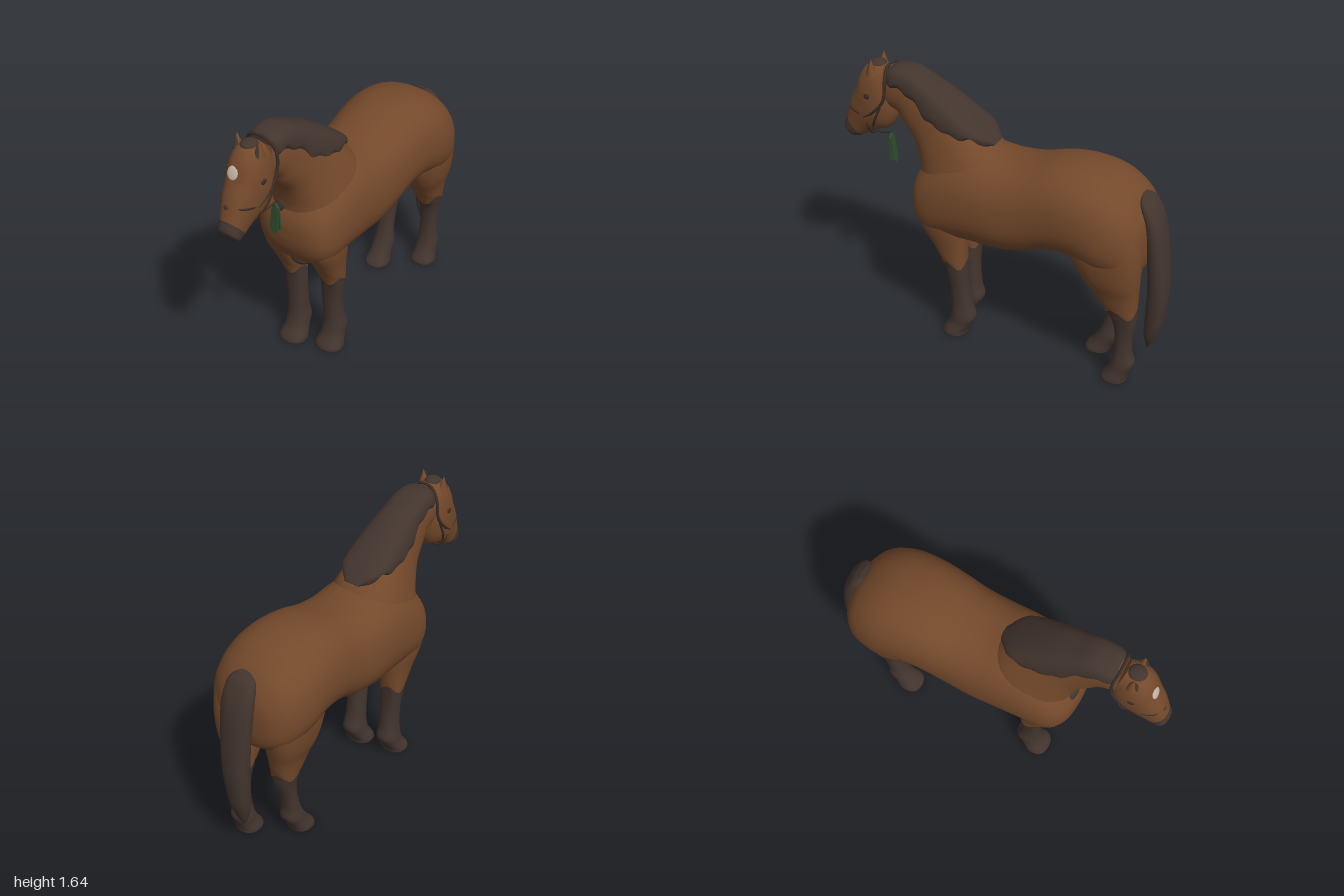
import * as THREE from 'three';

const mat = (name, color) => Object.assign(new THREE.MeshStandardMaterial({ color }), { name });

// Smooth skin through oval sections [x, z0, y0, z1, y1, halfWidth]; 0 and 1 are opposite rims
// in the side plane. Stations past `split` take the second material; `jag` waves that border.
function loft(sections, { split = Infinity, jag = 0, power = 0.85, egg = 0, steps = 4, seg = 28 } = {}) {
  const curve = (f) => new THREE.CatmullRomCurve3(sections.map(f), false, 'catmullrom', 0.5);
  const low = curve((s) => new THREE.Vector3(s[0], s[2], s[1]));
  const high = curve((s) => new THREE.Vector3(s[0], s[4], s[3]));
  const width = curve((s) => new THREE.Vector3(s[5], 0, 0));
  const n = (sections.length - 1) * steps;
  const pos = [], idx = [];
  const soft = (v) => Math.sign(v) * Math.abs(v) ** power;
  for (let i = 0; i <= n; i++) {
    const a = low.getPoint(i / n), b = high.getPoint(i / n);
    const w = Math.max(0.004, width.getPoint(i / n).x);
    const c = a.clone().add(b).multiplyScalar(0.5), h = b.sub(a).multiplyScalar(0.5);
    for (let j = 0; j < seg; j++) {
      const t = (j / seg) * Math.PI * 2, s = soft(Math.sin(t));
      const wave = i === split * steps ? jag * Math.sin(3 * t + 0.6) : 0;
      pos.push(c.x + w * soft(Math.cos(t)) * (1 + egg * s), c.y + h.y * s + wave, c.z + h.z * s);
    }
  }
  // end caps with their own rim points
  const cap = (i, flip) => {
    const start = pos.length / 3, mid = [0, 0, 0];
    for (let j = 0; j < seg; j++) {
      for (let k = 0; k < 3; k++) {
        const v = pos[(i * seg + j) * 3 + k];
        pos.push(v);
        mid[k] += v / seg;
      }
    }
    pos.push(...mid);
    for (let j = 0; j < seg; j++) {
      const p = start + j, q = start + (j + 1) % seg;
      idx.push(start + seg, flip ? q : p, flip ? p : q);
    }
  };
  cap(0, true);
  let cut = 0;
  for (let i = 0; i < n; i++) {
    if (i === split * steps) cut = idx.length;
    for (let j = 0; j < seg; j++) {
      const a = i * seg + j, b = i * seg + (j + 1) % seg;
      idx.push(a, b, a + seg, b, b + seg, a + seg);
    }
  }
  cap(n, false);
  const g = new THREE.BufferGeometry();
  g.setAttribute('position', new THREE.Float32BufferAttribute(pos, 3));
  g.setIndex(idx);
  if (cut) {
    g.addGroup(0, cut, 0);
    g.addGroup(cut, idx.length - cut, 1);
  }
  g.computeVertexNormals();
  return g;
}

export function createModel() {
  const horse = new THREE.Group();
  horse.name = 'horse';
  const coat = mat('bayCoat', 0x74492b);
  const dark = mat('darkHair', 0x43352e);
  const leather = mat('halterLeather', 0x3a2e27);
  const white = mat('starWhite', 0xc4b6a6);
  const green = mat('leadGreen', 0x2f4c2d);

  const add = (name, geometry, material) => {
    const m = new THREE.Mesh(geometry, material);
    m.name = name;
    horse.add(m);
    return m;
  };
  const blob = (name, material, p, s, r = [0, 0, 0]) => {
    const m = add(name, new THREE.SphereGeometry(1, 20, 14), material);
    m.position.set(...p);
    m.scale.set(...s);
    m.rotation.set(...r);
  };

  // Trunk: z, top, bottom, half width
  const trunk = [
    [-0.893, 0.95, 0.85, 0.04], [-0.885, 1.02, 0.79, 0.12], [-0.86, 1.095, 0.73, 0.2], [-0.79, 1.185, 0.69, 0.268],
    [-0.66, 1.26, 0.7, 0.303], [-0.5, 1.287, 0.755, 0.3], [-0.35, 1.275, 0.745, 0.288],
    [-0.2, 1.235, 0.69, 0.28], [-0.05, 1.22, 0.662, 0.28], [0.1, 1.235, 0.66, 0.275],
    [0.25, 1.215, 0.655, 0.266], [0.37, 1.15, 0.65, 0.25], [0.45, 1.08, 0.7, 0.215],
    [0.495, 1.01, 0.78, 0.15], [0.512, 0.95, 0.85, 0.06], [0.514, 0.91, 0.89, 0.02],
  ];
  add('body', loft(trunk.map(([z, t, b, w]) => [0, z, b, z, t, w]), { egg: -0.04, seg: 36 }), coat);

  // Neck: throat rim to crest rim
  add('neck', loft([
    [0, 0.4, 0.85, -0.04, 1.1, 0.23], [0, 0.475, 0.98, 0.0, 1.2, 0.218], [0, 0.488, 1.08, 0.08, 1.29, 0.188],
    [0, 0.525, 1.19, 0.25, 1.43, 0.143], [0, 0.59, 1.27, 0.41, 1.53, 0.115],
    [0, 0.63, 1.33, 0.55, 1.585, 0.1], [0, 0.72, 1.36, 0.68, 1.6, 0.085],
  ]), coat);

  // Mane: draped over the crest with a ragged lower edge
  const seg = 28;
  const mane = loft([
    [0, 0.05, 1.25, 0.02, 1.28, 0.05], [0, 0.13, 1.295, 0.09, 1.345, 0.125], [0, 0.27, 1.28, 0.2, 1.43, 0.146],
    [0, 0.42, 1.33, 0.32, 1.51, 0.136], [0, 0.48, 1.4, 0.43, 1.565, 0.12], [0, 0.55, 1.46, 0.53, 1.61, 0.11],
    [0, 0.65, 1.49, 0.63, 1.615, 0.1], [0, 0.69, 1.5, 0.685, 1.595, 0.075],
  ], { power: 0.75, egg: -0.1, steps: 6, seg });
  const mp = mane.attributes.position;
  for (let i = 0; i < mp.count; i++) {
    const lower = i % seg > seg / 2 ? 1 : 0;
    mp.setY(i, mp.getY(i) + 0.012 * lower * Math.sin(mp.getZ(i) * 55));
  }
  mane.computeVertexNormals();
  add('mane', mane, dark);

  // Head: jaw rim to forehead rim, dark from the muzzle on
  add('head', loft([
    [0, 0.66, 1.37, 0.72, 1.595, 0.08], [0, 0.665, 1.29, 0.8, 1.6, 0.1], [0, 0.7, 1.22, 0.865, 1.54, 0.106],
    [0, 0.76, 1.19, 0.905, 1.44, 0.098], [0, 0.82, 1.165, 0.945, 1.36, 0.084], [0, 0.88, 1.125, 0.983, 1.245, 0.066],
    [0, 0.905, 1.113, 0.995, 1.215, 0.064], [0, 0.935, 1.11, 1.0, 1.19, 0.058], [0, 0.965, 1.13, 0.99, 1.165, 0.03],
  ], { split: 5 }), [coat, dark]);
  blob('forelock', dark, [0, 1.59, 0.77], [0.046, 0.026, 0.05]);
  blob('star', white, [-0.015, 1.477, 0.889], [0.033, 0.037, 0.008], [-0.38, 0, 0]);
  blob('noseMark', dark, [-0.01, 1.313, 0.957], [0.016, 0.014, 0.008], [-0.3, 0, 0]);

  // Legs: y, x, back z, front z, half width; the two sides are staggered
  const fore = [
    [0.95, 0.125, 0.2, 0.42, 0.06], [0.85, 0.132, 0.18, 0.465, 0.098], [0.74, 0.13, 0.175, 0.445, 0.098],
    [0.62, 0.122, 0.175, 0.375, 0.083], [0.5, 0.12, 0.175, 0.31, 0.07], [0.4, 0.113, 0.173, 0.29, 0.063],
    [0.3, 0.108, 0.165, 0.28, 0.057], [0.2, 0.108, 0.15, 0.275, 0.058], [0.13, 0.108, 0.13, 0.28, 0.066],
    [0.08, 0.107, 0.15, 0.295, 0.068], [0.03, 0.107, 0.18, 0.325, 0.082], [0.005, 0.107, 0.185, 0.33, 0.083],
    [0, 0.107, 0.195, 0.32, 0.074],
  ];
  const hind = [
    [1.12, 0.12, -0.82, -0.56, 0.06], [1.0, 0.145, -0.862, -0.5, 0.12], [0.85, 0.152, -0.885, -0.47, 0.122],
    [0.7, 0.145, -0.88, -0.54, 0.108], [0.6, 0.13, -0.872, -0.61, 0.088], [0.48, 0.12, -0.868, -0.695, 0.07],
    [0.4, 0.115, -0.865, -0.735, 0.058], [0.3, 0.112, -0.85, -0.75, 0.05], [0.2, 0.11, -0.85, -0.748, 0.052],
    [0.13, 0.11, -0.868, -0.735, 0.062], [0.07, 0.11, -0.845, -0.71, 0.065], [0.025, 0.11, -0.832, -0.682, 0.075],
    [0.005, 0.11, -0.83, -0.68, 0.075], [0, 0.11, -0.82, -0.69, 0.066],
  ];
  const leg = (name, rows, split, side, lead) => add(name, loft(rows.map(([y, x, b, f, w]) => {
    const dz = lead * Math.max(0, 1 - y);
    return [x * side, b + dz, y, f + dz, y, w];
  }), { split, jag: 0.022 }), [coat, dark]);
  leg('leftForeleg', fore, 4, 1, 0);
  leg('rightForeleg', fore, 4, -1, 0.06);
  leg('leftHindLeg', hind, 5, 1, 0);
  leg('rightHindLeg', hind, 5, -1, 0.19);

  // Tail
  add('tail', loft([
    [0, -0.85, 1.165, -0.82, 1.175, 0.04], [0, -0.9, 1.12, -0.82, 1.13, 0.088], [0, -0.953, 1.0, -0.85, 1.0, 0.1],
    [0, -0.985, 0.8, -0.875, 0.8, 0.093], [0, -1.0, 0.6, -0.885, 0.6, 0.082], [0, -0.985, 0.4, -0.88, 0.4, 0.064],
    [0, -0.955, 0.28, -0.88, 0.28, 0.045], [0, -0.915, 0.19, -0.895, 0.19, 0.01],
  ]), dark);

  // Dark markings on the chest and underside
  blob('brisketPatch', dark, [0, 0.66, 0.36], [0.07, 0.045, 0.06]);
  blob('groinPatch', dark, [0, 0.775, -0.45], [0.14, 0.035, 0.065]);
  blob('chestPatch', dark, [-0.06, 1.03, 0.475], [0.034, 0.062, 0.022], [0, -0.2, -0.6]);

  // Halter
  const strap = (name, pts, closed, r = 0.009) => add(name, new THREE.TubeGeometry(
    new THREE.CatmullRomCurve3(pts.map((p) => new THREE.Vector3(...p)), closed), 40, r, 6, closed), leather);
  strap('noseband', [[0, 1.32, 0.947], [0.064, 1.312, 0.925], [0.085, 1.28, 0.83], [0.05, 1.175, 0.81],
    [0, 1.16, 0.81], [-0.05, 1.175, 0.81], [-0.085, 1.28, 0.83], [-0.064, 1.312, 0.925]], true);
  const cheek = [[0.087, 1.28, 0.83], [0.1, 1.33, 0.76], [0.102, 1.42, 0.69], [0.092, 1.54, 0.68], [0.045, 1.595, 0.69]];
  strap('headpiece', [...cheek, ...cheek.map(([x, y, z]) => [-x, y, z]).reverse()], false);
  for (const s of [1, -1]) {
    const side = s > 0 ? 'left' : 'right';
    strap(side + 'JawStrap', [[s * 0.1, 1.37, 0.715], [s * 0.095, 1.27, 0.76], [s * 0.03, 1.175, 0.81]], false, 0.007);
    blob(side + 'Eye', leather, [s * 0.1, 1.42, 0.795], [0.009, 0.018, 0.022]);
    // Ears
    const ear = add(side + 'Ear', new THREE.ConeGeometry(0.034, 0.1, 10), coat);
    ear.position.set(s * 0.068, 1.588, 0.775);
    ear.rotation.z = -s * 0.06;
    const inner = add(side + 'EarInside', new THREE.ConeGeometry(0.02, 0.075, 8), dark);
    inner.position.set(s * 0.066, 1.588, 0.79);
  }

  // Lead rope with hanging green ends
  strap('leadRope', [[0.01, 1.165, 0.81], [0.04, 1.18, 0.74], [0.065, 1.21, 0.665]], false, 0.005);
  const leaf = new THREE.Shape();
  leaf.moveTo(0.005, 0.19);
  leaf.lineTo(0.026, 0.16);
  leaf.lineTo(0.024, 0.02);
  leaf.lineTo(-0.005, 0);
  leaf.lineTo(-0.026, 0.03);
  leaf.lineTo(-0.014, 0.16);
  for (const [z, tilt] of [[0.645, 0.08], [0.675, -0.05]]) {
    const end = add('leadEnd', new THREE.ExtrudeGeometry(leaf, { depth: 0.008, bevelEnabled: false }), green);
    end.position.set(0.062, 1.02, z);
    end.rotation.x = tilt;
  }
  return horse;
}
